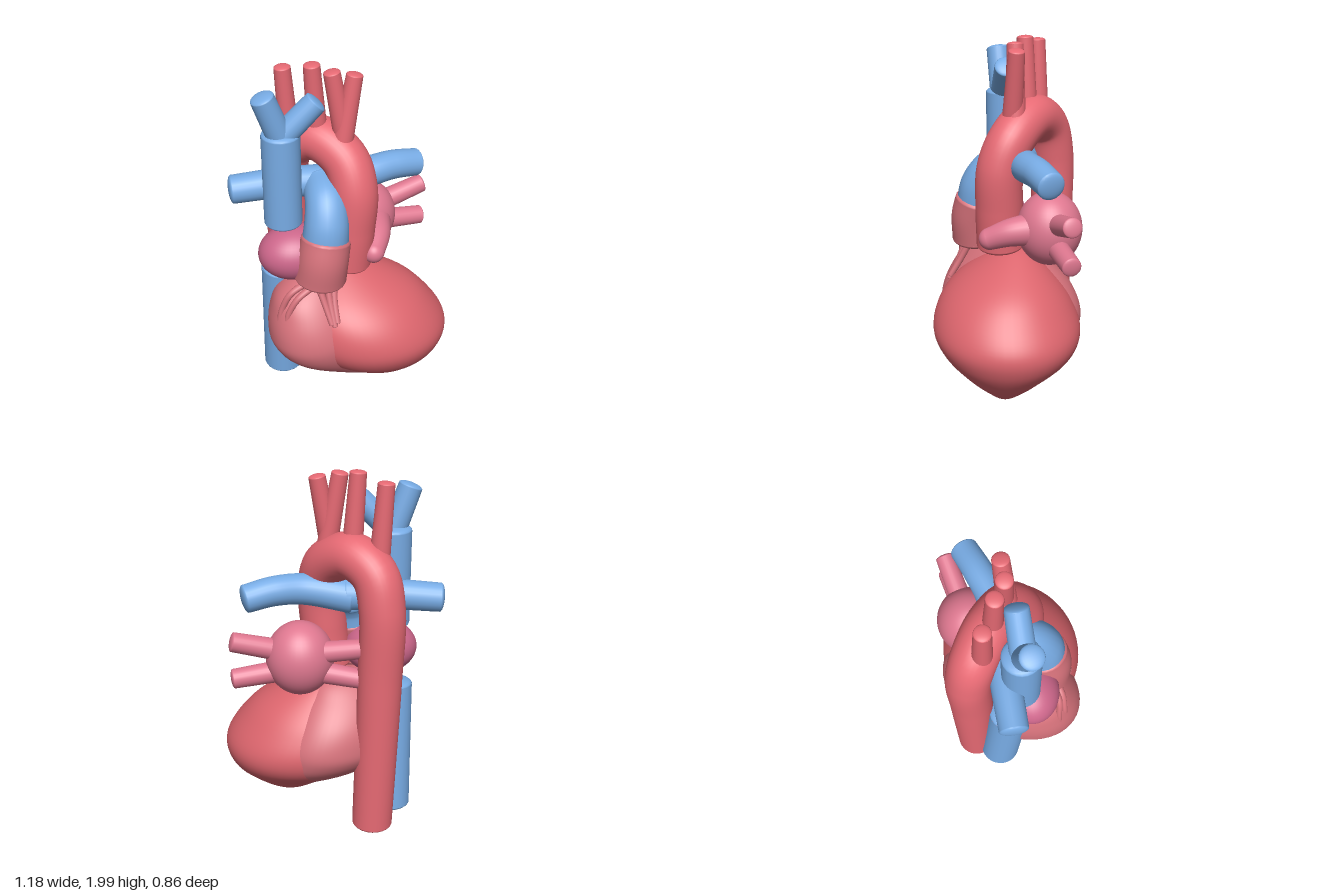
import * as THREE from 'three';

const RED = 0xe76a74, MUSCLE = 0xdc656d, PALE = 0xd6727b, BLUE = 0x78ace5, PINK = 0xdf7890, MAUVE = 0xcc668a;
const v = (p) => new THREE.Vector3(...p);
const mat = (color) => new THREE.MeshStandardMaterial({ color });

function add(parent, name, geometry, color) {
  const m = new THREE.Mesh(geometry, mat(color));
  m.name = name;
  parent.add(m);
  return m;
}

// Tapered vessel along a smooth path, closed by shallow domes
function vessel(parent, name, color, points, r0, r1 = r0, sides = 24) {
  const g = new THREE.Group();
  g.name = name;
  parent.add(g);
  const curve = new THREE.CatmullRomCurve3(points.map(v));
  const geo = new THREE.TubeGeometry(curve, points.length > 2 ? points.length * 10 : 4, r0, sides);
  const { position: p, normal: n, uv } = geo.attributes;
  for (let i = 0; i < p.count; i++) {
    const d = (r1 - r0) * uv.getX(i);
    p.setXYZ(i, p.getX(i) + n.getX(i) * d, p.getY(i) + n.getY(i) * d, p.getZ(i) + n.getZ(i) * d);
  }
  add(g, name + 'Wall', geo, color);
  for (const [t, r] of [[0, r0], [1, r1]]) {
    const cap = add(g, name + 'End', new THREE.SphereGeometry(r, sides, 12), color);
    cap.scale.z = 0.3;
    cap.position.copy(curve.getPoint(t));
    cap.lookAt(cap.position.clone().add(curve.getTangent(t)));
  }
  return g;
}

// Smooth body from horizontal elliptical slices: [y, xMin, xMax, zMin, zMax], top to bottom;
// skew slides each slice along z in proportion to x
function loft(slices, skew = 0, rows = 56, cols = 56) {
  const centres = new THREE.CatmullRomCurve3(
    slices.map(([y, a, b, c, d]) => new THREE.Vector3((a + b) / 2, y, (c + d) / 2)), false, 'catmullrom');
  const radii = new THREE.CatmullRomCurve3(
    slices.map(([y, a, b, c, d]) => new THREE.Vector3((b - a) / 2, 0, (d - c) / 2)), false, 'catmullrom');
  const pos = [], idx = [];
  for (let i = 0; i <= rows; i++) {
    const c = centres.getPoint(i / rows), r = radii.getPoint(i / rows);
    for (let j = 0; j < cols; j++) {
      const t = (j / cols) * Math.PI * 2;
      const x = Math.max(r.x, 0) * Math.cos(t);
      pos.push(c.x + x, c.y, c.z + Math.max(r.z, 0) * Math.sin(t) + skew * x);
      if (i === rows) continue;
      const a = i * cols + j, a2 = i * cols + (j + 1) % cols;
      idx.push(a, a2, a + cols, a2, a2 + cols, a + cols);
    }
  }
  const geo = new THREE.BufferGeometry();
  geo.setAttribute('position', new THREE.Float32BufferAttribute(pos, 3));
  geo.setIndex(idx);
  geo.computeVertexNormals();
  return geo;
}

function ellipsoid(parent, name, color, centre, radii) {
  const m = add(parent, name, new THREE.SphereGeometry(1, 40, 28), color);
  m.position.set(...centre);
  m.scale.set(...radii);
  return m;
}

export function createModel() {
  const heart = new THREE.Group();
  heart.name = 'heart';

  // Ventricles, sharing one apex
  add(heart, 'leftVentricle', loft([
    [0.872, 0, 0, -0.03, -0.03],
    [0.845, -0.13, 0.12, -0.13, 0.06],
    [0.72, -0.27, 0.36, -0.25, 0.27],
    [0.6, -0.31, 0.49, -0.33, 0.385],
    [0.46, -0.3, 0.58, -0.37, 0.43],
    [0.34, -0.22, 0.565, -0.32, 0.385],
    [0.22, -0.05, 0.475, -0.16, 0.27],
    [0.125, 0.08, 0.36, -0.035, 0.16],
    [0.082, 0.16, 0.28, 0.03, 0.105],
    [0.066, 0.22, 0.22, 0.07, 0.07],
  ]), MUSCLE);
  add(heart, 'rightVentricle', loft([
    [0.872, -0.12, -0.12, -0.02, -0.02],
    [0.845, -0.27, 0.05, -0.14, 0.1],
    [0.76, -0.39, 0.14, -0.24, 0.2],
    [0.65, -0.435, 0.22, -0.33, 0.275],
    [0.54, -0.45, 0.28, -0.375, 0.315],
    [0.45, -0.435, 0.3, -0.375, 0.315],
    [0.35, -0.35, 0.32, -0.31, 0.275],
    [0.22, -0.13, 0.3, -0.14, 0.19],
    [0.125, 0.06, 0.28, -0.02, 0.12],
    [0.075, 0.22, 0.22, 0.07, 0.07],
  ], -0.33), PALE);

  // Atria
  ellipsoid(heart, 'leftAtrium', PINK, [0.175, 1.02, -0.195], [0.18, 0.2, 0.175]);
  ellipsoid(heart, 'rightAtrium', MAUVE, [-0.275, 0.98, 0.01], [0.2, 0.15, 0.165]);
  vessel(heart, 'leftAuricle', PINK, [[0.21, 1.03, -0.1], [0.185, 1.01, 0.02], [0.135, 0.965, 0.12]], 0.09, 0.06);
  ellipsoid(heart, 'leftAuricleTip', PINK, [0.135, 0.965, 0.12], [0.06, 0.06, 0.06]);

  // Aorta and the branches of its arch
  vessel(heart, 'aorta', RED, [
    [0.01, 0.89, 0.04], [0.03, 1.1, 0.05], [0.045, 1.33, 0.045], [0.015, 1.48, -0.025], [-0.1, 1.56, -0.155],
    [-0.205, 1.49, -0.255], [-0.24, 1.32, -0.3], [-0.235, 0.9, -0.3], [-0.21, 0.045, -0.29],
  ], 0.13, 0.11, 32);
  const archBranches = [
    [[-0.23, 1.52, -0.22], [-0.26, 1.95, -0.215]],
    [[-0.1, 1.56, -0.13], [-0.13, 1.985, -0.12]],
    [[0.02, 1.58, -0.04], [-0.045, 1.965, -0.05]],
    [[0, 1.56, -0.025], [0.07, 1.945, -0.035]],
  ];
  archBranches.forEach((p, i) => vessel(heart, 'archBranch' + (i + 1), RED, p, 0.055, 0.044));

  // Great veins
  vessel(heart, 'upperVenaCava', BLUE, [[-0.32, 1.15, -0.045], [-0.32, 1.66, -0.045]], 0.102);
  vessel(heart, 'upperVeinRight', BLUE, [[-0.32, 1.64, -0.035], [-0.41, 1.885, -0.025]], 0.068, 0.063);
  vessel(heart, 'upperVeinLeft', BLUE, [[-0.31, 1.66, -0.035], [-0.14, 1.83, -0.02]], 0.068, 0.062);
  vessel(heart, 'lowerVenaCava', BLUE, [[-0.325, 0.81, -0.11], [-0.32, 0.1, -0.17]], 0.112);

  // Outflow root, pulmonary trunk and its two arteries
  vessel(heart, 'outflowRoot', PALE, [[-0.17, 0.88, 0.135], [-0.155, 1, 0.145], [-0.135, 1.1, 0.13]], 0.143, 0.134, 32);
  vessel(heart, 'pulmonaryTrunk', BLUE, [
    [-0.14, 1.06, 0.13], [-0.125, 1.19, 0.115], [-0.11, 1.285, 0.05], [-0.1, 1.32, -0.08],
  ], 0.128, 0.1);
  vessel(heart, 'rightPulmonaryArtery', BLUE, [[-0.08, 1.33, -0.1], [-0.3, 1.335, -0.125], [-0.565, 1.32, -0.155]], 0.085, 0.077);
  vessel(heart, 'leftPulmonaryArtery', BLUE, [[-0.1, 1.32, -0.1], [0.14, 1.355, -0.07], [0.3, 1.36, -0.1], [0.45, 1.335, -0.135]], 0.09, 0.075);

  // Pulmonary veins, two on each side
  const veins = {
    leftUpperVein: [[0.2, 1.05, -0.2], [0.525, 1.135, -0.23]],
    leftLowerVein: [[0.2, 0.96, -0.2], [0.525, 0.925, -0.23]],
    rightUpperVein: [[0.15, 1.06, -0.24], [-0.15, 1.1, -0.29]],
    rightLowerVein: [[0.15, 0.97, -0.24], [-0.15, 0.92, -0.28]],
  };
  for (const [name, p] of Object.entries(veins)) vessel(heart, name, PINK, p, 0.06, 0.052);

  // Thin vessels on the surface of the heart
  const coronaries = [
    [[-0.2, 0.87, 0.19], [-0.175, 0.77, 0.235], [-0.15, 0.66, 0.295]],
    [[-0.15, 0.88, 0.19], [-0.145, 0.77, 0.24], [-0.135, 0.65, 0.305]],
    [[-0.11, 0.87, 0.19], [-0.12, 0.77, 0.24], [-0.12, 0.67, 0.3]],
    [[-0.22, 0.87, 0.15], [-0.34, 0.82, 0.17], [-0.39, 0.72, 0.16], [-0.41, 0.62, 0.16]],
    [[-0.22, 0.85, 0.18], [-0.31, 0.8, 0.2], [-0.36, 0.72, 0.2], [-0.38, 0.64, 0.2]],
  ];
  coronaries.forEach((p, i) => vessel(heart, 'coronaryVessel' + (i + 1), PALE, p, 0.02, 0.016, 10));

  return heart;
}
